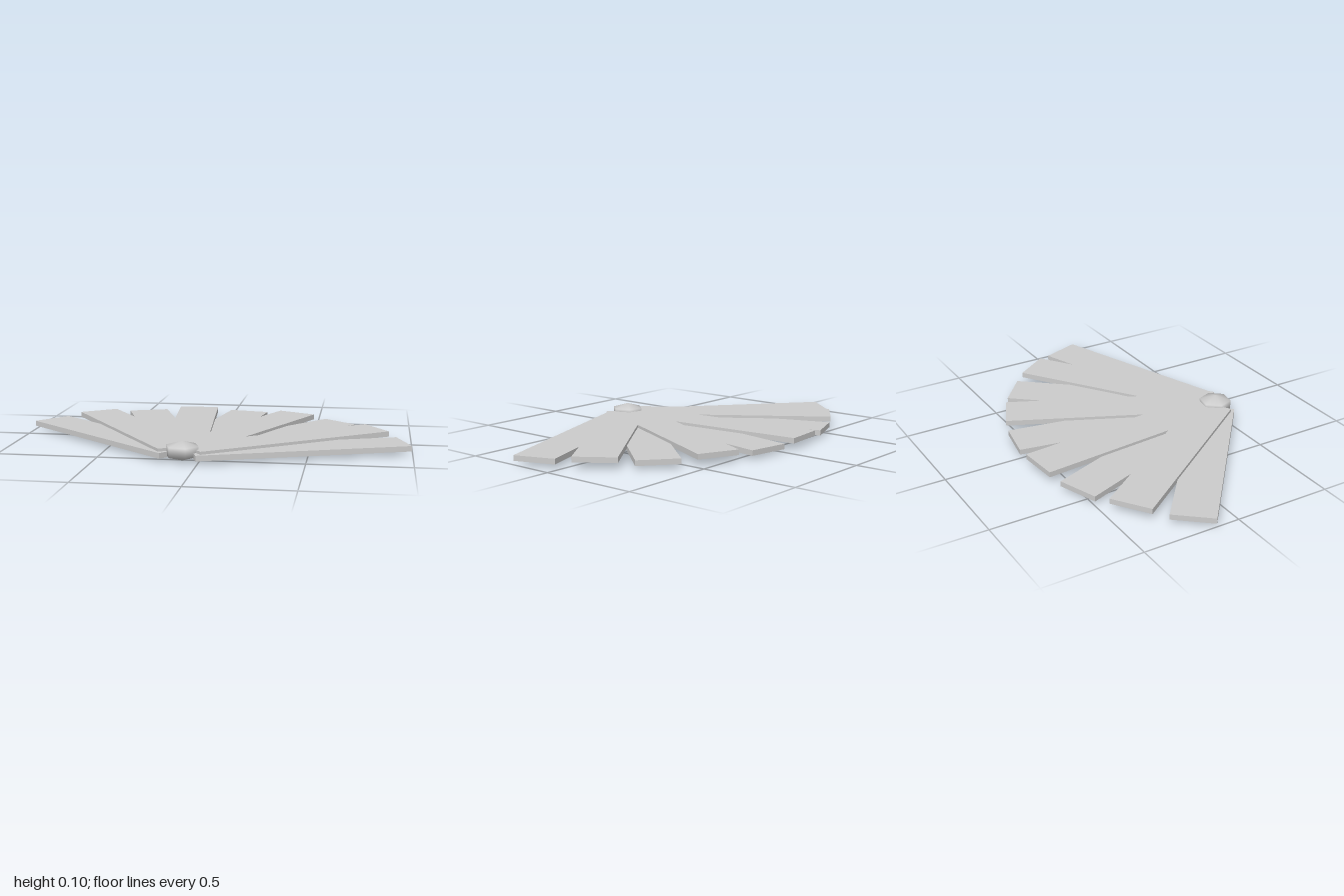
import * as THREE from 'three';

const PIVOT = { x: -0.083, z: 0.511 };
const INNER = 0.043, OUTER = 1.109, WIDTH = 0.213, THICK = 0.027;

export function createModel() {
  const grey = new THREE.MeshStandardMaterial({ color: 0xcccccc });
  grey.name = 'light grey';
  const model = new THREE.Group();
  model.name = 'handFan';

  // Everything turns about the pivot, with the fan's middle slat tilted 10 degrees
  const fan = new THREE.Group();
  fan.name = 'fan';
  fan.position.set(PIVOT.x, 0, PIVOT.z);
  fan.rotation.y = THREE.MathUtils.degToRad(-10);
  model.add(fan);

  // Nine slats, 15 degrees apart, alternating between a lower and an upper layer
  const slatGeometry = new THREE.BoxGeometry(WIDTH, THICK, OUTER - INNER);
  slatGeometry.translate(0, 0, -(OUTER + INNER) / 2);
  for (let i = -4; i <= 4; i++) {
    const upper = Math.abs(i) % 2 === 1;
    const slat = new THREE.Mesh(slatGeometry, grey);
    slat.name = upper ? 'upperSlat' : 'lowerSlat';
    slat.position.y = upper ? 0.0455 : 0.031;
    slat.rotation.y = THREE.MathUtils.degToRad(-15 * i);
    fan.add(slat);
  }

  // Flattened six-sided rivet holding the slats
  const rivet = new THREE.Mesh(new THREE.SphereGeometry(0.095, 6, 3), grey);
  rivet.name = 'pivotRivet';
  rivet.scale.y = 0.51;
  rivet.position.y = 0.0485;
  fan.add(rivet);

  return model;
}
